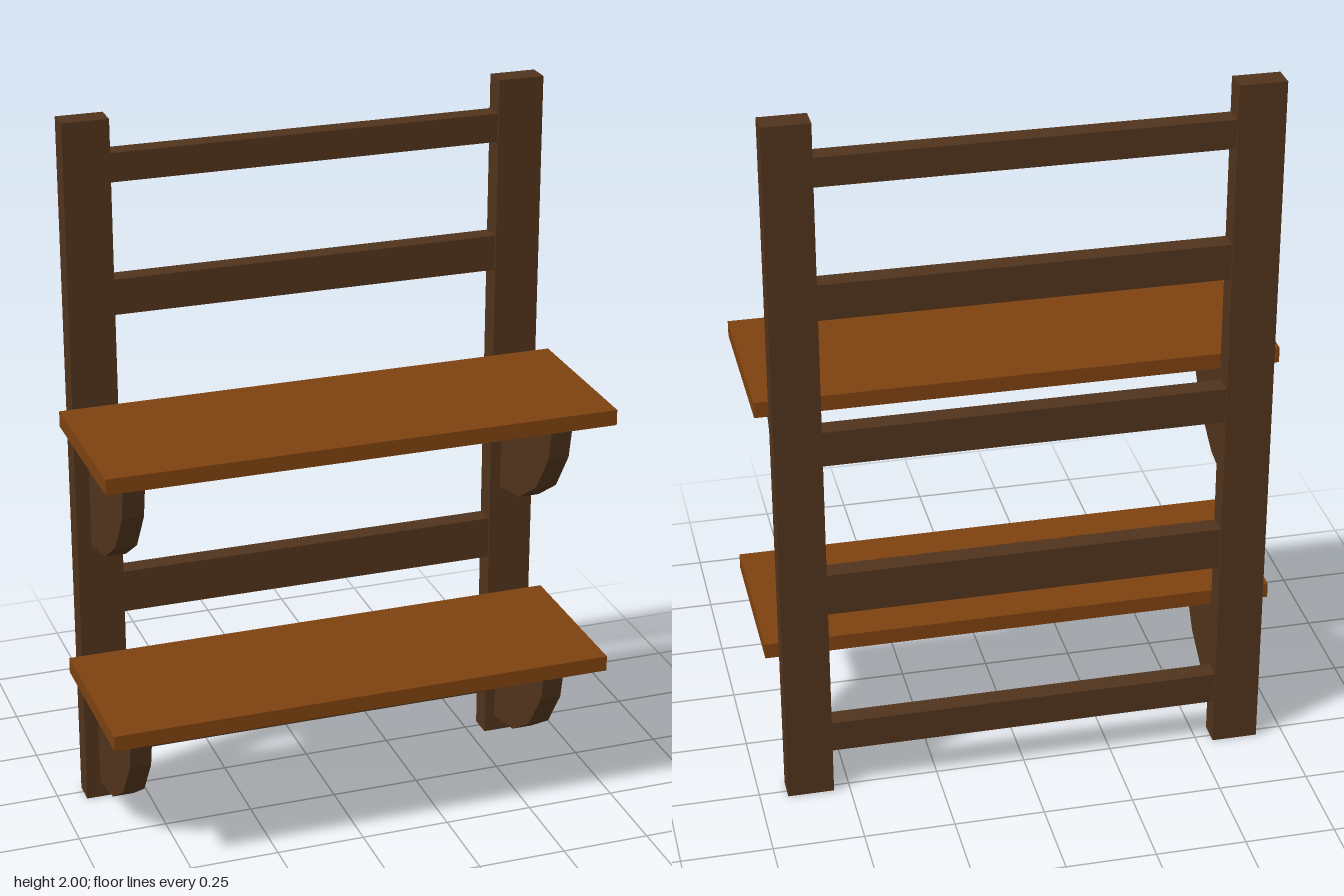
import * as THREE from 'three';

export function createModel() {
  const model = new THREE.Group();
  const frameWood = new THREE.MeshStandardMaterial({ color: 0x50331c, flatShading: true });
  const shelfWood = new THREE.MeshStandardMaterial({ color: 0x7d4110, flatShading: true });

  // Box given by its limits on each axis
  function board(name, [x0, x1], [y0, y1], [z0, z1], material) {
    const mesh = new THREE.Mesh(new THREE.BoxGeometry(x1 - x0, y1 - y0, z1 - z0), material);
    mesh.position.set((x0 + x1) / 2, (y0 + y1) / 2, (z0 + z1) / 2);
    mesh.name = name;
    model.add(mesh);
  }

  // Upright posts
  board('leftPost', [0.545, 0.673], [0, 2], [-0.275, -0.208], frameWood);
  board('rightPost', [-0.673, -0.545], [0, 2], [-0.275, -0.208], frameWood);

  // Back slats of varying height
  const slats = [[0.13, 0.22], [0.573, 0.695], [1.03, 1.13], [1.455, 1.555], [1.825, 1.905]];
  slats.forEach((span, i) => board(`slat${i + 1}`, [-0.546, 0.546], span, [-0.269, -0.214], frameWood));

  // Quarter-round bracket profile (x is depth, y is height below the shelf)
  const steps = 4, depth = 0.368, height = 0.364, thickness = 0.06;
  const profile = new THREE.Shape();
  profile.moveTo(0, 0);
  for (let i = steps; i >= 0; i--) {
    const a = (i / steps) * Math.PI / 2;
    profile.lineTo(Math.cos(a) * depth, -Math.sin(a) * height);
  }
  profile.closePath();
  const bracketGeometry = new THREE.ExtrudeGeometry(profile, { depth: thickness, bevelEnabled: false });
  bracketGeometry.translate(0, 0, -thickness / 2).rotateY(-Math.PI / 2);

  // Shelves, each on a pair of brackets
  [['lower', 0.415, 0.459], ['upper', 1.159, 1.203]].forEach(([label, bottom, top]) => {
    board(`${label}Shelf`, [-0.71, 0.71], [bottom, top], [-0.204, 0.275], shelfWood);
    for (const side of [-1, 1]) {
      const bracket = new THREE.Mesh(bracketGeometry, frameWood);
      bracket.position.set(side * 0.604, bottom, -0.204);
      bracket.name = `${label}${side > 0 ? 'Left' : 'Right'}Bracket`;
      model.add(bracket);
    }
  });

  return model;
}
